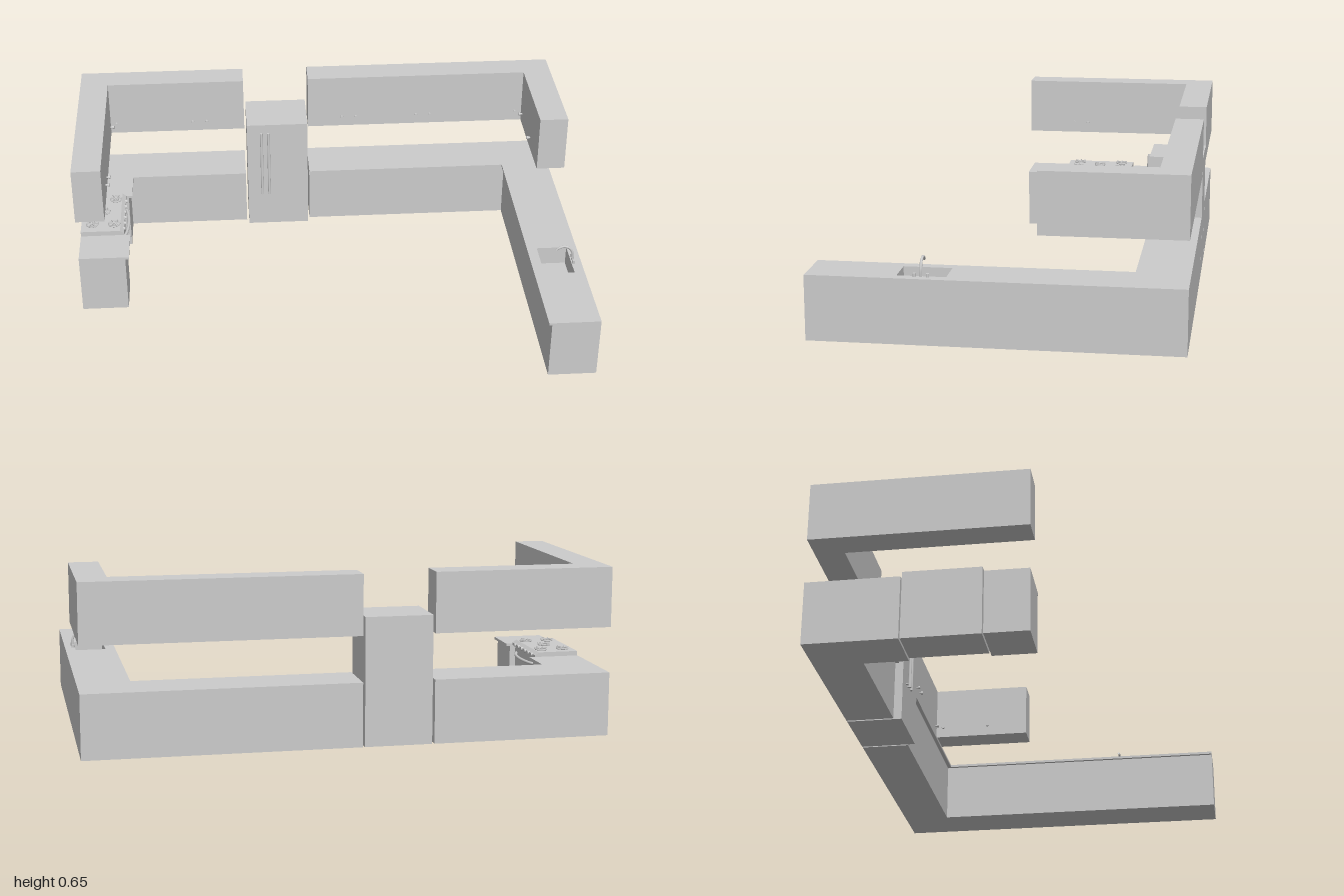
import * as THREE from 'three';

const grey = new THREE.MeshStandardMaterial({ color: 0xcccccc });

function add(parent, name, geo, x = 0, y = 0, z = 0) {
  const m = new THREE.Mesh(geo, grey);
  m.name = name;
  m.position.set(x, y, z);
  parent.add(m);
  return m;
}

// Box given by its limits on each axis
const box = (g, name, x0, x1, y0, y1, z0, z1) =>
  add(g, name, new THREE.BoxGeometry(x1 - x0, y1 - y0, z1 - z0), (x0 + x1) / 2, (y0 + y1) / 2, (z0 + z1) / 2);

// Floor plan [x, z] raised from y0 to y1, with an optional opening
function slab(g, name, plan, y0, y1, hole) {
  const pts = p => p.map(([x, z]) => new THREE.Vector2(x, -z));
  const s = new THREE.Shape(pts(plan));
  if (hole) s.holes.push(new THREE.Path(pts(hole)));
  const geo = new THREE.ExtrudeGeometry(s, { depth: y1 - y0, bevelEnabled: false });
  geo.rotateX(-Math.PI / 2);
  add(g, name, geo, 0, y0, 0);
}

const rod = (g, name, r, len, x, y, z, axis = 'y') => {
  const geo = new THREE.CylinderGeometry(r, r, len, 16);
  if (axis === 'x') geo.rotateZ(Math.PI / 2);
  if (axis === 'z') geo.rotateX(Math.PI / 2);
  return add(g, name, geo, x, y, z);
};

const tube = (g, name, pts, r) => add(g, name, new THREE.TubeGeometry(
  new THREE.CatmullRomCurve3(pts.map(p => new THREE.Vector3(...p))), 32, r, 10));

const BACK = -0.685;

// L-shaped plan: a run along the back wall plus a leg along a side wall
const lPlan = (side, inner, depth, front, end) => [
  [side, BACK], [inner, BACK], [inner, front], [side * depth, front], [side * depth, end], [side, end]];

function baseUnits(g) {
  const sink = [[0.84, 0.175], [0.96, 0.175], [0.96, 0.355], [0.84, 0.355]];
  // Left corner and the piece in front of the stove
  slab(g, 'leftBaseCabinet', lPlan(-1, -0.315, 0.815, -0.5, -0.335), 0, 0.235);
  slab(g, 'leftCountertop', lPlan(-1, -0.315, 0.8, -0.485, -0.335), 0.235, 0.245);
  box(g, 'endBaseCabinet', -1, -0.815, 0, 0.235, -0.035, 0.13);
  box(g, 'endCountertop', -1, -0.8, 0.235, 0.245, -0.035, 0.13);
  // Right corner and long leg, hollowed for the sink
  const body = lPlan(1, -0.04, 0.812, -0.5, 0.685);
  slab(g, 'rightBaseCabinet', body, 0, 0.17);
  slab(g, 'sinkCabinet', body, 0.17, 0.235, sink);
  slab(g, 'rightCountertop', lPlan(1, -0.04, 0.8, -0.485, 0.685), 0.235, 0.245, sink);
  rod(g, 'sinkDrain', 0.012, 0.004, 0.9, 0.172, 0.265);
}

function wallUnits(g) {
  slab(g, 'leftWallCabinet', lPlan(-1, -0.315, 0.885, -0.572, 0.13), 0.42, 0.65);
  slab(g, 'rightWallCabinet', lPlan(1, -0.04, 0.885, -0.572, -0.155), 0.42, 0.65);
  // Door knobs on the back run, then on the two legs
  const knob = (x, z, axis, dir) => {
    const dx = axis === 'x' ? dir : 0, dz = axis === 'z' ? dir : 0;
    rod(g, 'knobStem', 0.004, 0.01, x + dx * 0.004, 0.465, z + dz * 0.004, axis);
    rod(g, 'knob', 0.007, 0.008, x + dx * 0.012, 0.465, z + dz * 0.012, axis);
  };
  for (const x of [-0.86, -0.535, -0.475, 0.105, 0.165, 0.425, 0.485, 0.855]) knob(x, -0.572, 'z', 1);
  for (const z of [-0.54, -0.13, -0.07]) knob(-0.885, z, 'x', 1);
  for (const z of [-0.54, -0.335]) knob(0.885, z, 'x', -1);
}

function refrigerator(g) {
  box(g, 'refrigeratorBody', -0.306, -0.048, 0, 0.49, BACK, -0.47);
  for (const x of [-0.245, -0.215]) {
    rod(g, 'refrigeratorHandle', 0.006, 0.3, x, 0.308, -0.455);
    for (const y of [0.175, 0.44]) rod(g, 'handleMount', 0.004, 0.018, x, y, -0.463, 'z');
  }
}

function stove(g) {
  const z0 = -0.33, z1 = -0.04, mid = (z0 + z1) / 2;
  box(g, 'stoveBody', -1, -0.837, 0, 0.245, z0, z1);
  // Cooktop with a sloping front edge
  const s = new THREE.Shape([[-1, 0.24], [-0.825, 0.24], [-0.825, 0.25], [-0.84, 0.262], [-1, 0.262]]
    .map(p => new THREE.Vector2(...p)));
  add(g, 'cooktop', new THREE.ExtrudeGeometry(s, { depth: z1 - z0, bevelEnabled: false }), 0, 0, z0);
  // Five burners, each with a ring, a cap and a crossed grate
  for (const [x, z] of [[-0.955, -0.28], [-0.955, -0.09], [-0.91, mid], [-0.865, -0.28], [-0.865, -0.09]]) {
    const ring = add(g, 'burnerRing', new THREE.TorusGeometry(0.022, 0.003, 6, 24), x, 0.266, z);
    ring.rotation.x = Math.PI / 2;
    rod(g, 'burnerCap', 0.012, 0.008, x, 0.265, z);
    for (let i = 0; i < 3; i++) {
      const bar = add(g, 'burnerGrate', new THREE.BoxGeometry(0.05, 0.004, 0.004), x, 0.271, z);
      bar.rotation.y = i * Math.PI / 3;
    }
  }
  // Control knobs and bowed oven handle
  for (let i = 0; i < 6; i++) rod(g, 'stoveKnob', 0.007, 0.014, -0.826, 0.247, mid + (i - 2.5) * 0.042, 'x');
  tube(g, 'ovenHandle', [[-0.84, 0.21, z0 + 0.01], [-0.82, 0.21, z0 + 0.06], [-0.811, 0.21, mid],
    [-0.82, 0.21, z1 - 0.06], [-0.84, 0.21, z1 - 0.01]], 0.006);
}

function faucet(g) {
  const z = 0.265;
  tube(g, 'faucetSpout', [[0.968, 0.24, z], [0.967, 0.275, z], [0.955, 0.299, z], [0.932, 0.309, z],
    [0.91, 0.303, z], [0.9, 0.293, z]], 0.005);
  for (const dz of [-0.024, 0.024]) rod(g, 'tapHandle', 0.006, 0.014, 0.968, 0.251, z + dz);
}

export function createModel() {
  const model = new THREE.Group();
  model.name = 'kitchen';
  const parts = { baseUnits, wallUnits, refrigerator, stove, faucet };
  for (const [name, build] of Object.entries(parts)) {
    const g = new THREE.Group();
    g.name = name;
    build(g);
    model.add(g);
  }
  return model;
}
